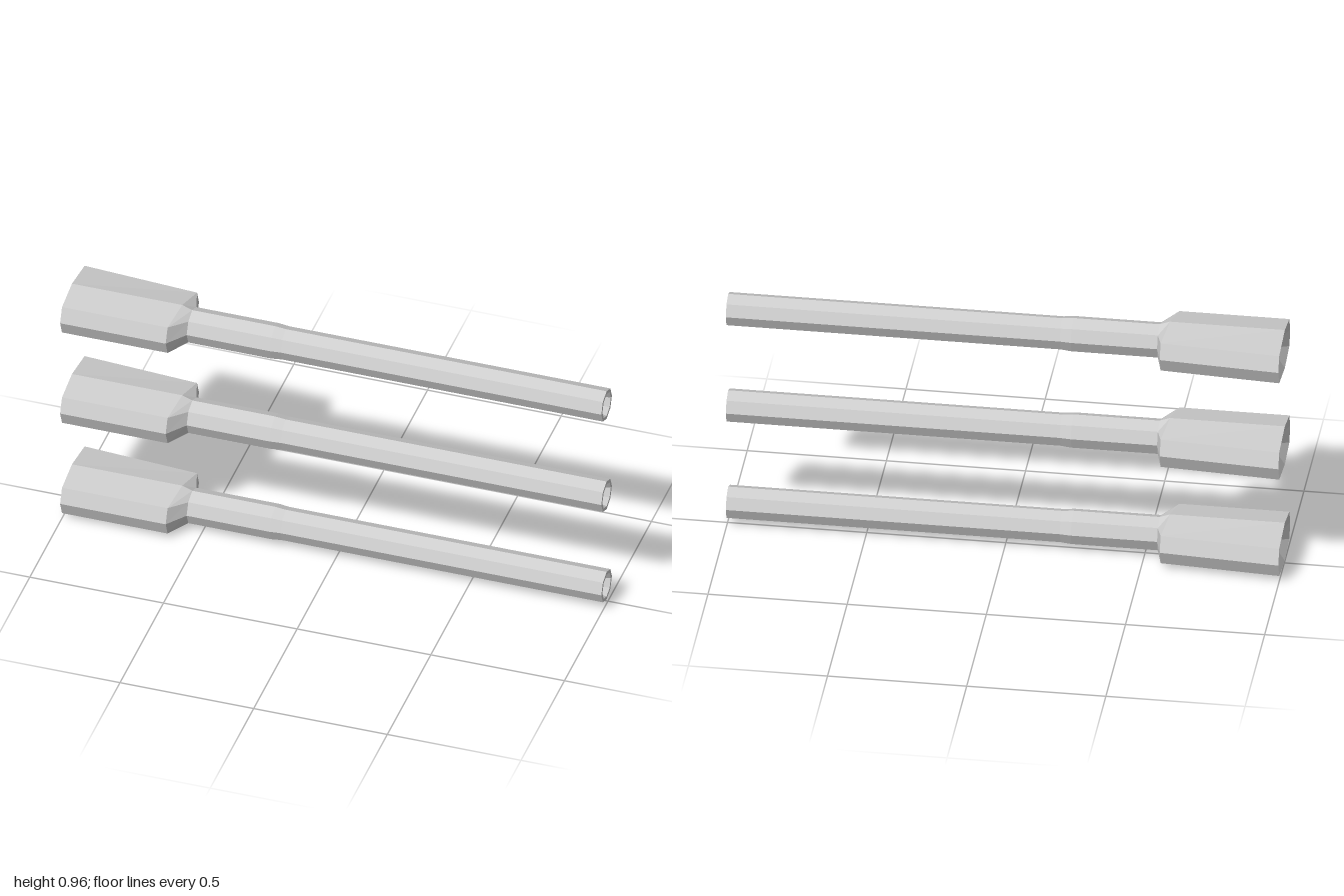
import * as THREE from 'three';

const SIDES = 8;

// Eight-sided ring around the bore, as [x, y, z] offsets
function roundRing(x, r) {
  return Array.from({ length: SIDES }, (_, i) => {
    const a = (i / SIDES) * Math.PI * 2;
    return [x, r * Math.sin(a), r * Math.cos(a)];
  });
}

// Wide eight-sided breech ring; front and back reach and x may differ
function breechRing(xFront, xBack, front, back) {
  const xMid = (xFront + xBack) / 2, h = 0.079, s = 0.056, inset = 0.022;
  return [
    [xFront, 0, front], [xFront, s, front - inset], [xMid, h, 0], [xBack, s, inset - back],
    [xBack, 0, -back], [xBack, -s, inset - back], [xMid, -h, 0], [xFront, -s, front - inset],
  ];
}

// Skin consecutive rings with outward-facing quads
function loft(rings) {
  const pos = [];
  for (let k = 0; k < rings.length - 1; k++) {
    for (let i = 0; i < SIDES; i++) {
      const j = (i + 1) % SIDES;
      const a = rings[k][i], b = rings[k + 1][i], c = rings[k + 1][j], d = rings[k][j];
      if (k < rings.length - 2) pos.push(...a, ...b, ...c);
      if (k > 0) pos.push(...a, ...c, ...d);
      if (k === rings.length - 2) pos.push(...a, ...b, ...d);
    }
  }
  const g = new THREE.BufferGeometry();
  g.setAttribute('position', new THREE.Float32BufferAttribute(pos, 3));
  g.computeVertexNormals();
  return g;
}

export function createModel() {
  const group = new THREE.Group();
  group.name = 'barrelSet';
  const material = new THREE.MeshStandardMaterial({ color: 0xcccccc, flatShading: true });

  const geometry = loft([
    roundRing(-0.95, 0),                      // hollow breech end
    breechRing(-1, -1, 0.137, 0.167),         // breech rim
    breechRing(-0.605, -0.57, 0.137, 0.138),  // breech shoulder, tapered at the back
    roundRing(-0.55, 0.065),                  // reinforced tube
    roundRing(-0.24, 0.065),
    roundRing(-0.2, 0.061),                   // slim tube
    roundRing(1, 0.061),                      // muzzle
    roundRing(1, 0.048),                      // bore edge
    roundRing(0.8, 0),                        // bore tapering to a point
  ]);

  // Three identical barrels stacked vertically
  ['lowerBarrel', 'middleBarrel', 'upperBarrel'].forEach((name, i) => {
    const barrel = new THREE.Mesh(geometry, material);
    barrel.name = name;
    barrel.position.set(0, 0.081 + 0.4 * i, 0.015);
    group.add(barrel);
  });
  return group;
}
